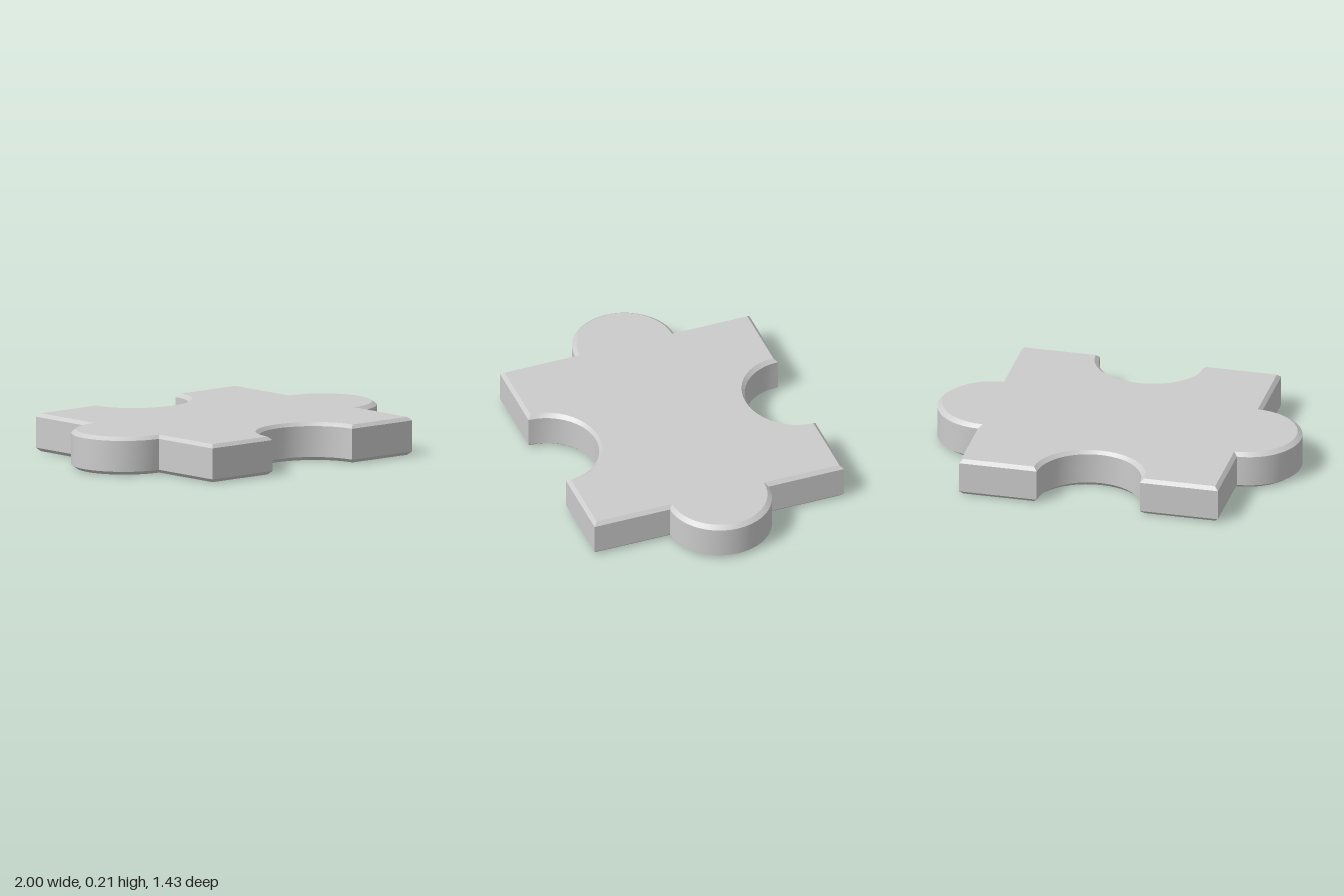
import * as THREE from 'three';
import { toCreasedNormals } from 'three/addons/utils/BufferGeometryUtils.js';

const HEIGHT = 0.206, CHAMFER = 0.019, SEGMENTS = 22;

// Counter-clockwise outline of the piece, pulled in by `inset` for the chamfered faces
function outline(inset) {
  const h = 0.715 - inset;                         // half width of the square body
  const knobX = 1 - 1.4 * inset - h, knobZ = 0.283 - inset;
  const notchX = 0.285 + inset, notchZ = h - (0.437 - 0.8 * inset);
  const half = [];
  for (let i = 0; i <= SEGMENTS; i++) {            // round knob
    const t = Math.PI * (i / SEGMENTS - 0.5);
    half.push(new THREE.Vector2(h + knobX * Math.cos(t), knobZ * Math.sin(t)));
  }
  half.push(new THREE.Vector2(h, h));
  for (let i = 0; i <= SEGMENTS; i++) {            // round notch
    const t = -Math.PI * i / SEGMENTS;
    half.push(new THREE.Vector2(notchX * Math.cos(t), h + notchZ * Math.sin(t)));
  }
  half.push(new THREE.Vector2(-h, h));
  // the other half is the same, turned by 180 degrees
  return [...half, ...half.map(p => p.clone().negate())];
}

function pieceGeometry() {
  const outer = outline(0), inner = outline(CHAMFER);
  const n = outer.length;
  const rings = [
    [inner, 0], [outer, CHAMFER], [outer, HEIGHT - CHAMFER], [inner, HEIGHT],
  ];
  const positions = [], index = [];
  for (const [points, y] of rings) {
    for (const p of points) positions.push(p.x, y, -p.y);
  }
  // chamfers and walls
  for (let k = 0; k < rings.length - 1; k++) {
    for (let j = 0; j < n; j++) {
      const j2 = (j + 1) % n;
      const a = k * n + j, b = k * n + j2, c = b + n, d = a + n;
      index.push(a, b, c, a, c, d);
    }
  }
  // top and bottom faces
  const top = 3 * n;
  for (const [a, b, c] of THREE.ShapeUtils.triangulateShape(inner, [])) {
    index.push(top + a, top + b, top + c, c, b, a);
  }
  const geometry = new THREE.BufferGeometry();
  geometry.setAttribute('position', new THREE.Float32BufferAttribute(positions, 3));
  geometry.setIndex(index);
  return toCreasedNormals(geometry, Math.PI / 6);
}

export function createModel() {
  const group = new THREE.Group();
  group.name = 'jigsawPiece';
  const piece = new THREE.Mesh(
    pieceGeometry(),
    new THREE.MeshStandardMaterial({ color: 0xcccccc }),
  );
  piece.name = 'chamferedBody';
  group.add(piece);
  return group;
}
